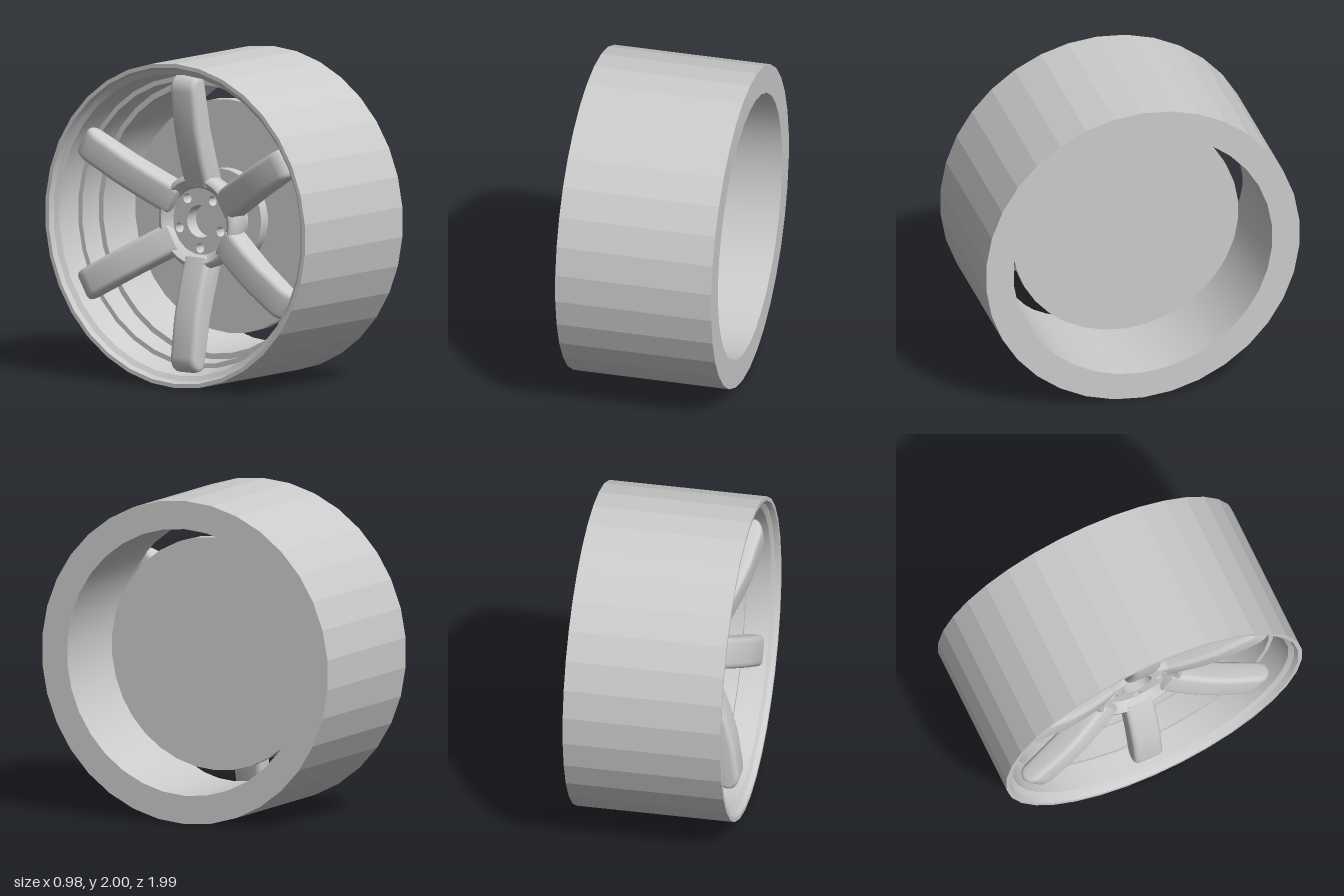
import * as THREE from 'three';
import { toCreasedNormals } from 'three/addons/utils/BufferGeometryUtils.js';

const SIDES = 34;
const metal = new THREE.MeshStandardMaterial({ color: 0xcccccc });
metal.name = 'light grey';

// Turns the lathe axis from y to x, with the first vertex at the top.
const toAxle = new THREE.Matrix4().makeBasis(
  new THREE.Vector3(0, 0, 1), new THREE.Vector3(1, 0, 0), new THREE.Vector3(0, 1, 0));

function part(name, geometry, crease = 0.6) {
  const mesh = new THREE.Mesh(toCreasedNormals(geometry, crease), metal);
  mesh.name = name;
  return mesh;
}

// profile: [radius, x] pairs
function turned(name, profile, crease) {
  const points = profile.map(([r, x]) => new THREE.Vector2(r, x));
  return part(name, new THREE.LatheGeometry(points, SIDES).applyMatrix4(toAxle), crease);
}

function circle(radius, x = 0, y = 0) {
  return new THREE.Path().absarc(x, y, radius, 0, Math.PI * 2, true);
}

// Flat side profile with a rounded edge, pointing up from the axle.
function spokeGeometry() {
  const s = new THREE.Shape();
  s.moveTo(-0.14, 0.2);
  s.quadraticCurveTo(-0.2, 0.36, -0.27, 0.58);
  s.lineTo(-0.33, 0.86);
  s.quadraticCurveTo(-0.34, 0.89, -0.37, 0.885);
  s.quadraticCurveTo(-0.4, 0.87, -0.4, 0.82);
  s.lineTo(-0.37, 0.6);
  s.quadraticCurveTo(-0.32, 0.38, -0.26, 0.24);
  s.closePath();
  const g = new THREE.ExtrudeGeometry(s, {
    depth: 0.12, curveSegments: 6, bevelThickness: 0.035, bevelSize: 0.03, bevelSegments: 4,
  });
  return g.translate(0, 0, -0.06);
}

// Plate with a centre bore and five lug holes.
function hubPlateGeometry() {
  const s = new THREE.Shape().absarc(0, 0, 0.25, 0, Math.PI * 2, false);
  s.holes.push(circle(0.1));
  for (let i = 0; i < 5; i++) {
    const a = -Math.PI / 2 + i * Math.PI * 2 / 5;
    s.holes.push(circle(0.03, Math.cos(a) * 0.165, Math.sin(a) * 0.165));
  }
  const g = new THREE.ExtrudeGeometry(s, { depth: 0.1, bevelEnabled: false, curveSegments: 16 });
  return g.rotateY(-Math.PI / 2).translate(-0.14, 0, 0);
}

export function createModel() {
  const model = new THREE.Group();
  model.name = 'wheel';
  const wheel = new THREE.Group();
  wheel.name = 'wheelAssembly';
  wheel.position.y = 1;
  model.add(wheel);

  // Faceted tread, smooth stepped barrel
  wheel.add(turned('tread', [[1, -0.49], [1, 0.49]], 0.05));
  wheel.add(turned('rimBarrel', [
    [1, 0.49], [0.825, 0.49], [0.825, -0.135], [0.86, -0.135], [0.87, -0.29],
    [0.9, -0.29], [0.93, -0.44], [0.96, -0.46], [0.975, -0.49], [1, -0.49],
  ], 0.4));

  // Six spokes
  const spoke = spokeGeometry();
  for (let i = 0; i < 6; i++) {
    const mesh = part('spoke', spoke, 0.7);
    mesh.rotation.x = i * Math.PI / 3;
    wheel.add(mesh);
  }

  // Dished hub
  wheel.add(part('hubPlate', hubPlateGeometry()));
  wheel.add(turned('hubRim', [
    [0.205, -0.24], [0.235, -0.275], [0.26, -0.295], [0.28, -0.29], [0.295, -0.265],
    [0.29, -0.18], [0.27, -0.14], [0.24, -0.14],
  ], 0.9));
  wheel.add(turned('hubNeck', [[0, -0.15], [0.2, -0.15], [0.2, 0]]));

  // Brake disc with its raised centre
  wheel.add(turned('brakeDisc', [
    [0, -0.02], [0.3, -0.02], [0.3, 0.05], [0.72, 0.05], [0.72, 0.115], [0, 0.115],
  ]));
  return model;
}
